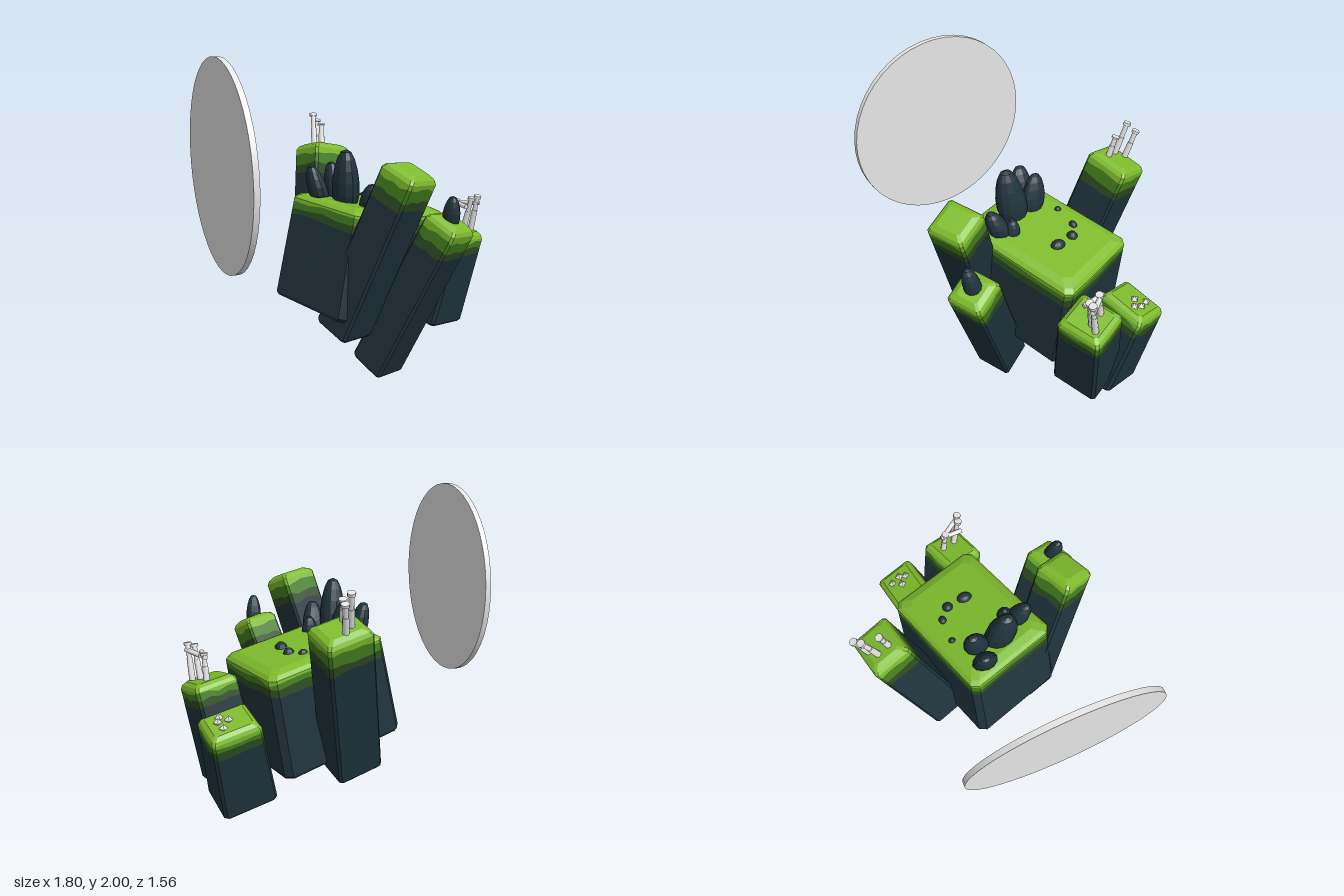
import * as THREE from 'three';

const V = (a) => new THREE.Vector3(...a);

export function createModel() {
  const model = new THREE.Group();
  const mat = (name, color) => Object.assign(new THREE.MeshStandardMaterial({ color }), { name });
  const rock = mat('slate rock', 0x20343d);
  const darkMoss = mat('dark moss', 0x2c4c22);
  const midMoss = mat('mid moss', 0x43801f);
  const moss = mat('bright moss', 0x7ebc2d);
  const grey = mat('pale grey', 0xe6e6e6);

  let seed = 7;
  const rand = () => (seed = (seed * 16807) % 2147483647) / 2147483647 - 0.5;

  const addMesh = (parent, name, geometry, material) => {
    const mesh = new THREE.Mesh(geometry, material);
    mesh.name = name;
    parent.add(mesh);
    return mesh;
  };

  // Chamfered rectangle outline at height y, with an uneven height if rough
  function ring(w, d, y, inset, rough = 0) {
    const a = w / 2 - inset, b = d / 2 - inset, c = Math.min(w, d) * 0.06;
    const corners = [[a, -b + c, a, b - c], [a - c, b, -a + c, b], [-a, b - c, -a, -b + c], [-a + c, -b, a - c, -b]];
    const points = [];
    for (const [x0, z0, x1, z1] of corners)
      for (let i = 0; i <= 4; i++) {
        const t = i / 4;
        points.push([x0 + (x1 - x0) * t, y + rand() * rough, z0 + (z1 - z0) * t]);
      }
    return points;
  }

  // Faceted skin through rings listed from low to high, with optional caps
  function skin(rings, bottom, top) {
    const p = [];
    const n = rings[0].length;
    for (let r = 0; r < rings.length - 1; r++)
      for (let i = 0; i < n; i++) {
        const lo = rings[r], up = rings[r + 1], j = (i + 1) % n;
        p.push(...lo[i], ...up[i], ...lo[j], ...up[i], ...up[j], ...lo[j]);
      }
    const last = rings[rings.length - 1];
    for (let i = 0; i < n; i++) {
      const j = (i + 1) % n;
      if (bottom) p.push(0, rings[0][0][1], 0, ...rings[0][i], ...rings[0][j]);
      if (top) p.push(0, last[0][1], 0, ...last[j], ...last[i]);
    }
    const g = new THREE.BufferGeometry();
    g.setAttribute('position', new THREE.Float32BufferAttribute(p, 3));
    g.computeVertexNormals();
    return g;
  }

  // Leaning stone column with a layered moss cap
  function column({ name, base, top, w, d, yaw, flare = 1, bands, bevel }) {
    const group = new THREE.Group();
    group.name = name;
    const axis = V(top).sub(V(base));
    const h = axis.length();
    axis.normalize();
    const side = new THREE.Vector3(Math.cos(yaw), 0, -Math.sin(yaw));
    side.addScaledVector(axis, -side.dot(axis)).normalize();
    const depth = new THREE.Vector3().crossVectors(side, axis);
    group.quaternion.setFromRotationMatrix(new THREE.Matrix4().makeBasis(side, axis, depth));
    group.position.copy(V(base));

    const grow = (y) => 1 + (flare - 1) * (1 - y / h);
    const level = (y, inset, rough) => ring(w * grow(y), d * grow(y), y, inset, rough);
    const [b1, b2, b3] = bands.map((drop) => level(h - drop, 0, 0.028));
    addMesh(group, 'stone', skin([level(0, 0.012), level(0.02, 0), b3], true, false), rock);
    addMesh(group, 'lowerMoss', skin([b3, b2]), darkMoss);
    addMesh(group, 'middleMoss', skin([b2, b1]), midMoss);
    addMesh(group, 'mossCap', skin([b1, level(h - 0.04, 0), level(h - 0.018, bevel * 0.3), level(h, bevel)], false, true), moss);
    model.add(group);
  }

  const tall = { bands: [0.08, 0.15, 0.21], bevel: 0.045 };
  const short = { bands: [0.06, 0.1, 0.145], bevel: 0.035 };
  column({ name: 'mainBlock', base: [0.03, 0.385, 0], top: [0.145, 1.06, -0.01], w: 0.82, d: 0.63, yaw: 0.3, flare: 1.07, bands: [0.06, 0.1, 0.145], bevel: 0.07 });
  column({ name: 'tallFrontColumn', base: [-0.19, 0.335, 0.27], top: [0.085, 1.375, 0.6], w: 0.25, d: 0.245, yaw: 0.36, flare: 1.04, ...tall });
  column({ name: 'lowFrontColumn', base: [0.04, 0.06, 0.28], top: [0.335, 1.06, 0.655], w: 0.23, d: 0.23, yaw: 0.35, flare: 1.06, ...tall });
  column({ name: 'backColumn', base: [-0.085, 0.34, -0.34], top: [0.08, 1.335, -0.63], w: 0.295, d: 0.255, yaw: 0.26, flare: 1.03, ...tall });
  column({ name: 'sideColumn', base: [0.61, 0.195, 0.005], top: [0.735, 0.84, 0.105], w: 0.29, d: 0.275, yaw: 0.3, flare: 1.1, ...short });
  column({ name: 'sideBackColumn', base: [0.575, 0.115, -0.155], top: [0.67, 0.71, -0.31], w: 0.315, d: 0.27, yaw: 0.22, flare: 1.15, ...short });

  // Boulders: blunt egg shapes, [x, z, foot y, top y, rx, rz, lean x, lean z]
  const boulders = [
    [-0.09, 0.1, 1.02, 1.43, 0.08, 0.1, -0.01, 0.025],
    [-0.215, -0.065, 1.05, 1.31, 0.058, 0.08, -0.03, -0.01],
    [-0.09, -0.075, 1.04, 1.32, 0.06, 0.08, -0.01, -0.02],
    [0, 0.26, 1.02, 1.24, 0.065, 0.07, -0.01, 0.04],
    [0.045, 0.18, 1.02, 1.17, 0.048, 0.048, 0, 0],
    [0.02, -0.19, 1.05, 1.095, 0.022, 0.025, 0, 0],
    [0.18, -0.19, 1.03, 1.075, 0.03, 0.025, 0, 0],
    [0.255, -0.125, 1.01, 1.07, 0.035, 0.035, 0, 0],
    [0.275, 0, 1.01, 1.07, 0.038, 0.05, 0, 0],
    [0.325, 0.655, 1.0, 1.21, 0.05, 0.055, -0.005, 0.02],
  ];
  for (const [x, z, y0, y1, rx, rz, lx, lz] of boulders) {
    const g = new THREE.SphereGeometry(1, 12, 8).toNonIndexed();
    const p = g.attributes.position;
    for (let i = 0; i < p.count; i++) {
      const y = p.getY(i);
      const s = (1 - 0.22 * y) * Math.pow(Math.max(1 - y * y, 1e-4), -0.12);
      p.setXYZ(i, p.getX(i) * rx * s + lx * y, (y * (y1 - y0)) / 2, p.getZ(i) * rz * s + lz * y);
    }
    g.computeVertexNormals();
    addMesh(model, 'boulder', g, rock).position.set(x, (y0 + y1) / 2, z);
  }

  // Rod between two points
  function rod(parent, name, from, to, r0, r1) {
    const dir = V(to).sub(V(from));
    const mesh = addMesh(parent, name, new THREE.CylinderGeometry(r1, r0, dir.length(), 10), grey);
    mesh.position.copy(V(from)).addScaledVector(dir, 0.5);
    mesh.quaternion.setFromUnitVectors(new THREE.Vector3(0, 1, 0), dir.normalize());
  }

  // Stepped pegs with a flat head
  const pegs = [
    [[0.045, 1.34, -0.57], [0.06, 1.49, -0.612]],
    [[0.02, 1.31, -0.64], [0.045, 1.55, -0.718]],
    [[0.065, 1.3, -0.69], [0.09, 1.5, -0.755]],
    [[0.745, 0.82, 0.035], [0.755, 1.02, 0.065]],
    [[0.775, 0.82, 0.125], [0.8, 1.05, 0.175]],
    [[0.825, 0.82, 0.14], [0.84, 1.06, 0.185]],
  ];
  for (const [from, to] of pegs) {
    const group = new THREE.Group();
    group.name = 'peg';
    const at = (t) => V(from).lerp(V(to), t).toArray();
    rod(group, 'pegFoot', from, at(0.58), 0.021, 0.019);
    rod(group, 'pegStem', at(0.58), at(0.92), 0.016, 0.016);
    rod(group, 'pegHead', at(0.92), to, 0.025, 0.025);
    model.add(group);
  }
  rod(model, 'pegBar', [0.75, 1.0, 0.03], [0.755, 0.99, 0.18], 0.016, 0.016);
  rod(model, 'pegBar', [0.775, 1.0, 0.08], [0.85, 1.01, 0.19], 0.016, 0.016);

  // Small pale crystals
  for (const [x, y, z] of [[0.71, 0.69, -0.37], [0.67, 0.715, -0.31], [0.735, 0.705, -0.31], [0.72, 0.715, -0.265]])
    addMesh(model, 'crystal', new THREE.OctahedronGeometry(0.028), grey).position.set(x, y, z);

  // Upright disc
  const disc = addMesh(model, 'disc', new THREE.CylinderGeometry(0.615, 0.615, 0.034, 48), grey);
  disc.rotation.z = Math.PI / 2;
  disc.position.set(-0.884, 1.385, 0.13);

  return model;
}
